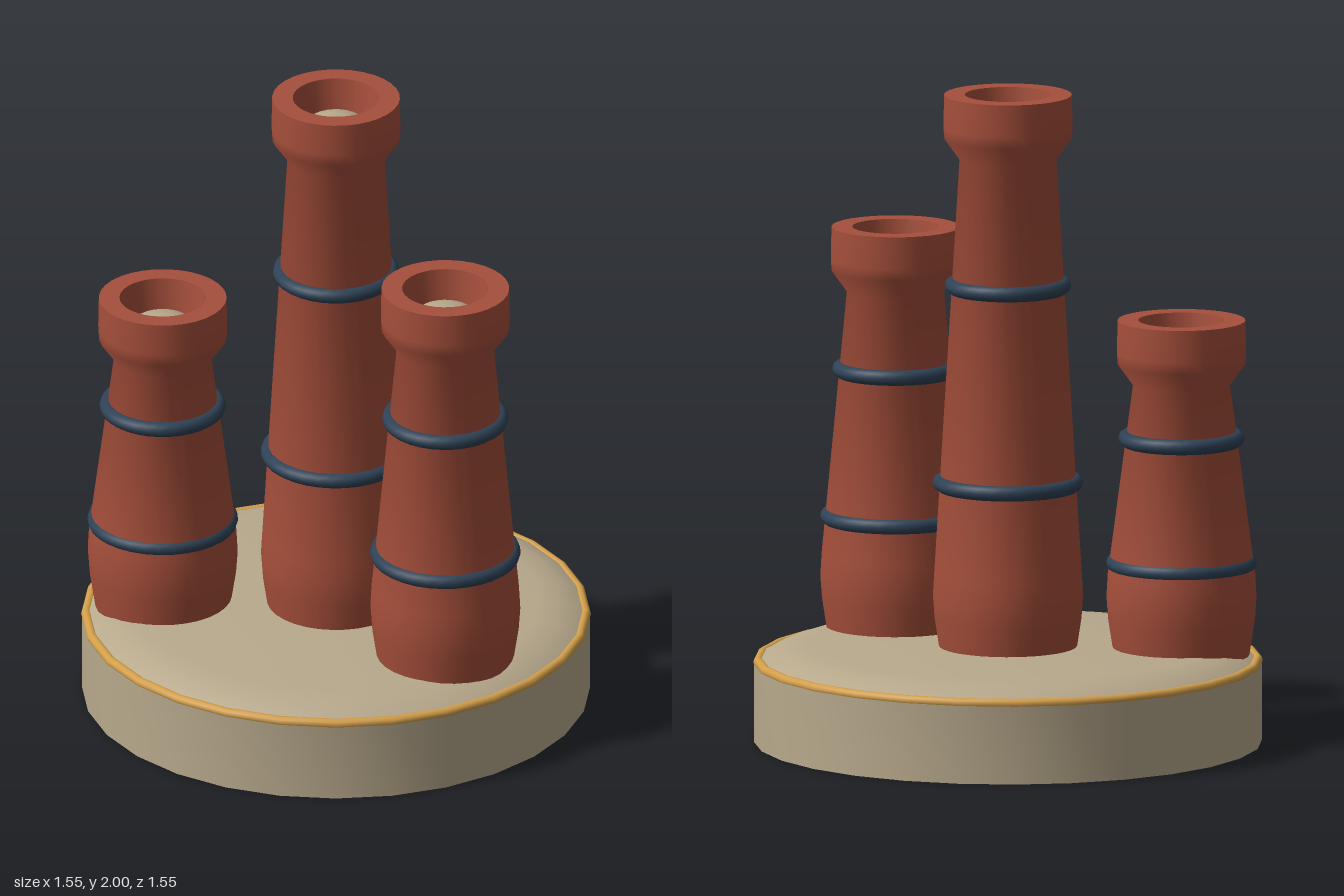
import * as THREE from 'three';
import { toCreasedNormals } from 'three/addons/utils/BufferGeometryUtils.js';

const mat = (name, color) => {
  const m = new THREE.MeshStandardMaterial({ color });
  m.name = name;
  return m;
};

export function createModel() {
  const stone = mat('stone', 0xb8a98c);
  const terracotta = mat('terracotta', 0xa64f3b);
  const navy = mat('navy', 0x2e4256);
  const gold = mat('gold', 0xd39f4a);

  const model = new THREE.Group();
  model.name = 'chimneyPots';

  const add = (parent, name, geometry, material, y = 0) => {
    const mesh = new THREE.Mesh(geometry, material);
    mesh.name = name;
    mesh.position.y = y;
    parent.add(mesh);
    return mesh;
  };
  const lathe = (points, sides, crease) => toCreasedNormals(
    new THREE.LatheGeometry(points.map(([r, y]) => new THREE.Vector2(r, y)), sides), crease);
  const ring = (r, tube, sides) => new THREE.TorusGeometry(r, tube, 10, sides).rotateX(Math.PI / 2);

  // Round plinth with a softened top edge and a gold trim
  add(model, 'plinth', lathe([
    [0, 0], [0.775, 0], [0.775, 0.245], [0.75, 0.26], [0.69, 0.287], [0.62, 0.295], [0, 0.295],
  ], 28, 0.8), stone);
  add(model, 'plinthTrim', ring(0.761, 0.016, 28), gold, 0.247);

  // Pots: position, top height and band heights
  const pots = [
    { name: 'centrePot', x: 0, z: 0, top: 2, bands: [0.8, 1.41] },
    { name: 'leftPot', x: 0.457, z: 0.18, top: 1.53, bands: [0.635, 1.09] },
    { name: 'rightPot', x: -0.49, z: 0.2, top: 1.305, bands: [0.555, 0.94] },
  ];
  for (const { name, x, z, top, bands } of pots) {
    const pot = new THREE.Group();
    pot.name = name;
    pot.position.set(x, 0, z);
    model.add(pot);

    // Bulged body, narrow neck, flared rim and hollow mouth
    add(pot, 'body', lathe([
      [0, 0.27], [0.207, 0.27], [0.224, 0.38], [0.229, 0.45], [0.225, 0.52],
      [0.148, top - 0.2], [0.195, top - 0.135], [0.197, top - 0.1], [0.195, top],
      [0.132, top], [0.116, top - 0.14], [0, top - 0.14],
    ], 32, 1), terracotta);

    // Domed plug inside the mouth
    const plug = add(pot, 'plug', new THREE.SphereGeometry(0.118, 24, 8, 0, Math.PI * 2, 0, Math.PI / 2), stone, top - 0.13);
    plug.scale.y = 0.6;

    // Dark bands
    bands.forEach((y, i) => add(pot, i ? 'upperBand' : 'lowerBand', ring(i ? 0.169 : 0.206, 0.024, 32), navy, y));
  }
  return model;
}
